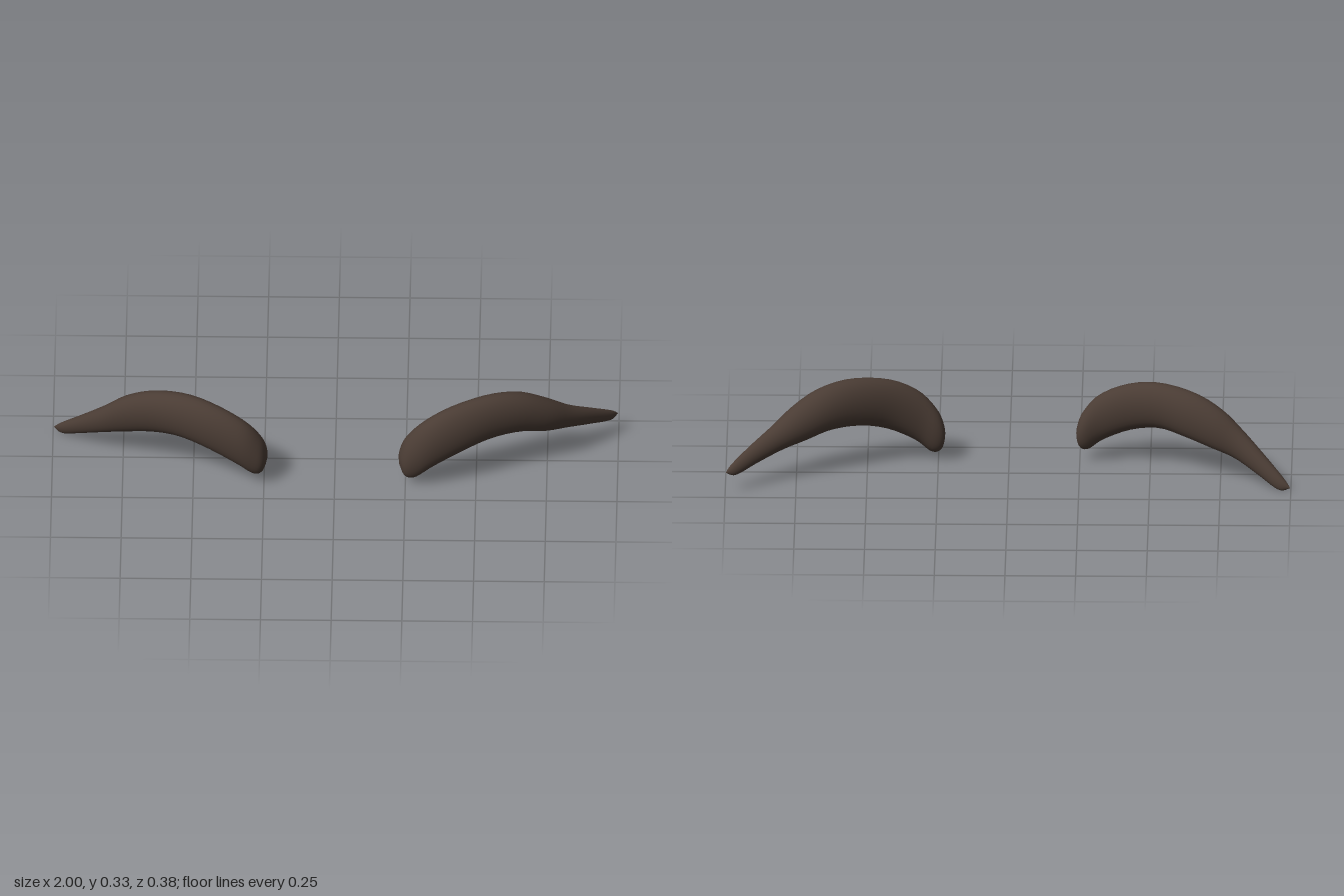
import * as THREE from 'three';

const RINGS = 56, SIDES = 28;

// Sweep an upright oval along the brow. Each station is
// [top x, top y, bottom x, bottom y, middle z, half thickness]; side is +1 or -1 in x.
function browGeometry(stations, side) {
  const curve = (pick) => new THREE.CatmullRomCurve3(
    stations.map((s) => new THREE.Vector3(...pick(s))), false, 'catmullrom', 0.5);
  const topLine = curve((s) => [s[0], s[1], s[4]]);
  const bottomLine = curve((s) => [s[2], s[3], s[4]]);
  const thickness = curve((s) => [s[5], 0, 0]);
  const positions = [], index = [];

  for (let i = 0; i <= RINGS; i++) {
    // closer rings near both ends keep the tips round
    const t = (1 - Math.cos((i / RINGS) * Math.PI)) / 2;
    const top = topLine.getPoint(t), bottom = bottomLine.getPoint(t);
    const half = Math.max(0, thickness.getPoint(t).x);
    const mid = top.clone().add(bottom).multiplyScalar(0.5);
    const up = top.clone().sub(bottom).multiplyScalar(0.5);
    const turn = 0.1 + 0.6 * mid.x;
    for (let j = 0; j < SIDES; j++) {
      const a = (j / SIDES) * Math.PI * 2;
      const c = Math.cos(a), s = Math.sin(a);
      // the underside is flatter than the crown
      const w = half * (s < 0 ? Math.sign(c) * Math.abs(c) ** 0.75 : c);
      positions.push(
        side * (mid.x + up.x * s + Math.sin(turn) * w),
        mid.y + up.y * s,
        mid.z + Math.cos(turn) * w);
    }
  }
  for (let i = 0; i < RINGS; i++) {
    for (let j = 0; j < SIDES; j++) {
      const k = (j + 1) % SIDES;
      const a = i * SIDES + j, b = a + SIDES, c = (i + 1) * SIDES + k, d = i * SIDES + k;
      if (side > 0) index.push(a, b, c, a, c, d);
      else index.push(a, c, b, a, d, c);
    }
  }
  const geometry = new THREE.BufferGeometry();
  geometry.setAttribute('position', new THREE.Float32BufferAttribute(positions, 3));
  geometry.setIndex(index);
  geometry.computeVertexNormals();
  return geometry;
}

export function createModel() {
  const model = new THREE.Group();
  model.name = 'eyebrows';
  const brown = new THREE.MeshStandardMaterial({ color: 0x4a3c34 });
  brown.name = 'dark brown';

  const left = [
    [0.228, 0.085, 0.228, 0.085, 0.145, 0],
    [0.231, 0.13, 0.245, 0.04, 0.142, 0.033],
    [0.255, 0.19, 0.28, 0.035, 0.14, 0.047],
    [0.32, 0.26, 0.34, 0.08, 0.14, 0.05],
    [0.42, 0.31, 0.44, 0.13, 0.117, 0.051],
    [0.55, 0.33, 0.54, 0.157, 0.072, 0.053],
    [0.66, 0.312, 0.64, 0.157, 0.027, 0.055],
    [0.75, 0.262, 0.73, 0.132, -0.013, 0.05],
    [0.83, 0.2, 0.81, 0.113, -0.06, 0.036],
    [0.91, 0.147, 0.895, 0.085, -0.12, 0.024],
    [0.975, 0.1, 0.965, 0.061, -0.175, 0.014],
    [0.998, 0.075, 0.998, 0.075, -0.195, 0],
  ];
  const right = [
    [0.241, 0.09, 0.241, 0.09, 0.145, 0],
    [0.242, 0.13, 0.255, 0.052, 0.142, 0.033],
    [0.262, 0.185, 0.285, 0.047, 0.14, 0.047],
    [0.32, 0.25, 0.34, 0.085, 0.138, 0.05],
    [0.42, 0.3, 0.44, 0.132, 0.112, 0.052],
    [0.53, 0.32, 0.54, 0.154, 0.07, 0.054],
    [0.65, 0.302, 0.63, 0.14, 0.023, 0.054],
    [0.745, 0.255, 0.725, 0.112, -0.015, 0.048],
    [0.82, 0.19, 0.81, 0.084, -0.047, 0.037],
    [0.9, 0.115, 0.89, 0.042, -0.098, 0.027],
    [0.97, 0.048, 0.96, 0.004, -0.148, 0.016],
    [0.998, 0.016, 0.998, 0.016, -0.167, 0],
  ];

  for (const [name, stations, side] of [['leftEyebrow', left, 1], ['rightEyebrow', right, -1]]) {
    const brow = new THREE.Mesh(browGeometry(stations, side), brown);
    brow.name = name;
    model.add(brow);
  }
  return model;
}
